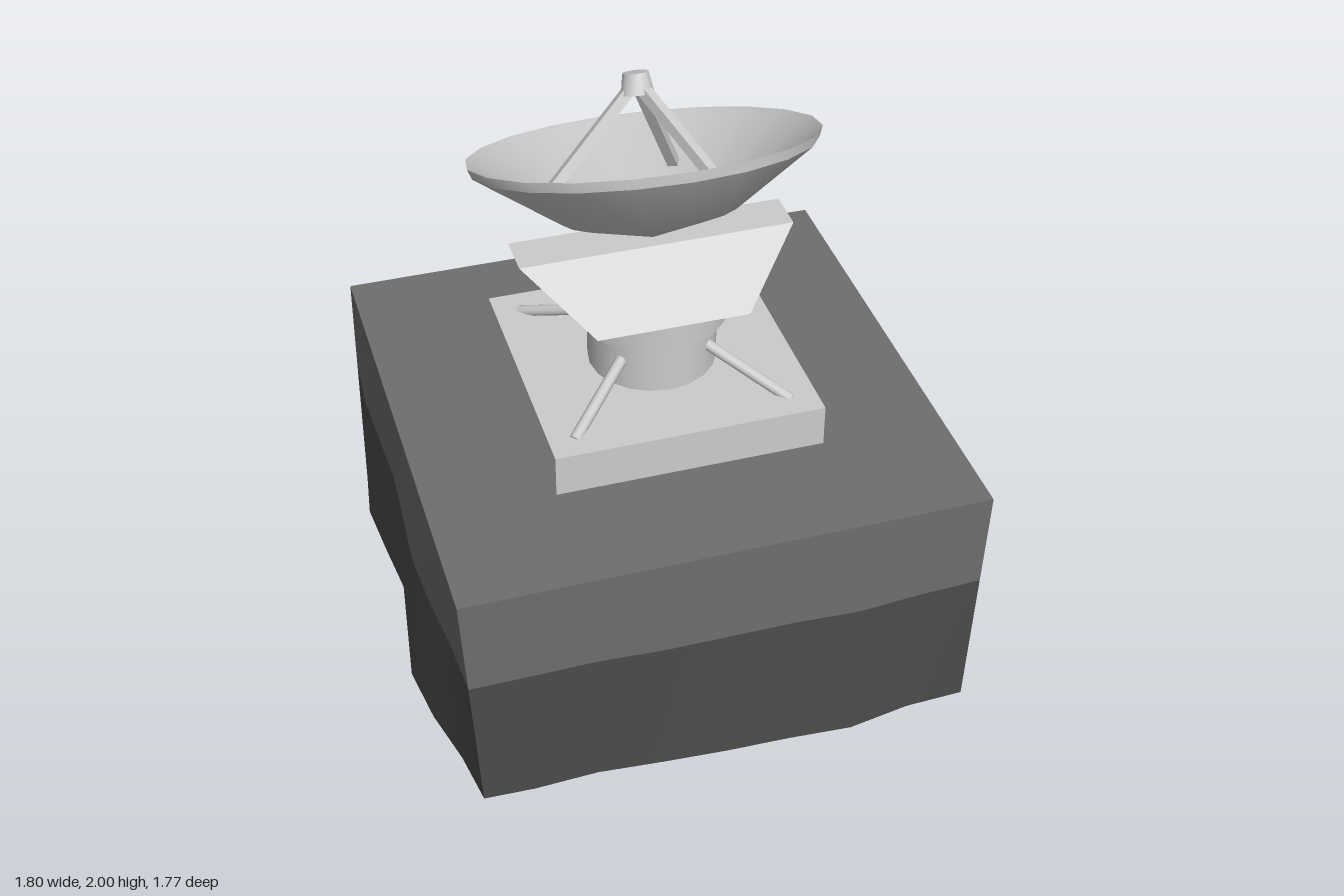
import * as THREE from 'three';
import { toCreasedNormals } from 'three/addons/utils/BufferGeometryUtils.js';

const light = new THREE.MeshStandardMaterial({ color: 0xcccccc });
const soil = new THREE.MeshStandardMaterial({ color: 0x6e6e6e, side: THREE.DoubleSide });
const rock = new THREE.MeshStandardMaterial({ color: 0x4c4c4c, side: THREE.DoubleSide });

function add(parent, name, geometry, material = light, x = 0, y = 0, z = 0) {
  const mesh = new THREE.Mesh(geometry, material);
  mesh.name = name;
  mesh.position.set(x, y, z);
  parent.add(mesh);
  return mesh;
}

// Lay a mesh built along y between two points
function span(mesh, a, b) {
  mesh.position.copy(a).add(b).multiplyScalar(0.5);
  mesh.quaternion.setFromUnitVectors(new THREE.Vector3(0, 1, 0), b.clone().sub(a).normalize());
}

// Outward push of each ground wall at its foot: left edge (-x), back, right, front
const H = 0.858, TOP = 0.885;
const bulge = [
  [-0.05, -0.02, 0.03, 0.06, 0.03, 0, 0.02, 0.04, 0.01],
  [-0.01, -0.04, -0.03, 0.02, 0.035, 0.02, 0, 0.025, -0.04],
  [-0.02, -0.03, 0, 0.02, 0.025, 0, 0.01, -0.02, -0.02],
  [-0.02, -0.02, 0.015, 0.01, 0, -0.02, -0.03, -0.02, -0.03],
];
const walls = [
  { out: [-1, 0], along: [0, -1] },
  { out: [0, -1], along: [1, 0] },
  { out: [1, 0], along: [0, 1] },
  { out: [0, 1], along: [-1, 0] },
];

// Ring of the ground block at height y, wall pushes growing toward the foot
function ring(y, wave) {
  const k = (TOP - y) / TOP, points = [];
  walls.forEach(({ out, along }, s) => {
    for (let i = 0; i < 8; i++) {
      const t = (i / 4 - 1) * H, push = H + bulge[s][i] * k;
      const p = [out[0] * push + along[0] * t, out[1] * push + along[1] * t];
      if (i === 0) { // a corner also follows the wall before it
        const before = walls[(s + 3) % 4].out, d = bulge[(s + 3) % 4][8] * k;
        p[0] += before[0] * d;
        p[1] += before[1] * d;
      }
      points.push([p[0], y + wave * Math.sin(points.length * 1.9), p[1]]);
    }
  });
  return points;
}

// Wall strip between two rings, with an optional flat lid
function band(low, high, lid) {
  const n = low.length, index = [];
  const positions = [...low, ...high];
  for (let i = 0; i < n; i++) {
    const j = (i + 1) % n;
    index.push(i, n + i, j, j, n + i, n + j);
  }
  if (lid) {
    positions.push([0, TOP, 0]);
    for (let i = 0; i < n; i++) index.push(2 * n, n + (i + 1) % n, n + i);
  }
  const g = new THREE.BufferGeometry();
  g.setAttribute('position', new THREE.Float32BufferAttribute(positions.flat(), 3));
  g.setIndex(index);
  return toCreasedNormals(g, 0.6);
}

// Turret block: square foot, wide and narrow top
function wedgeGeometry() {
  const g = new THREE.BoxGeometry(0.5, 0.195, 0.5);
  const p = g.attributes.position;
  for (let i = 0; i < p.count; i++) {
    if (p.getY(i) > 0) {
      p.setX(i, Math.sign(p.getX(i)) * 0.45);
      p.setZ(i, Math.sign(p.getZ(i)) * 0.072);
    }
  }
  const flat = g.toNonIndexed();
  flat.computeVertexNormals();
  return flat;
}

function makeGround() {
  const ground = new THREE.Group();
  ground.name = 'ground';
  const foot = ring(0.008, 0.006), seam = ring(0.53, 0.006), brim = ring(TOP, 0);
  add(ground, 'lowerEarth', band(foot, seam, false), rock);
  add(ground, 'upperEarth', band(seam, brim, true), soil);
  return ground;
}

function makeDish() {
  const dish = new THREE.Group();
  dish.name = 'dish';
  const profile = [
    [0, -0.305], [0.287, -0.22], [0.55, -0.033], [0.562, 0],
    [0.545, -0.008], [0.28, -0.185], [0, -0.265],
  ].map(([r, y]) => new THREE.Vector2(r, y));
  add(dish, 'reflector', toCreasedNormals(new THREE.LatheGeometry(profile, 20), 0.55));

  // Receiver on three legs
  add(dish, 'receiver', toCreasedNormals(new THREE.CylinderGeometry(0.042, 0.054, 0.067, 12), 0.7), light, 0, 0.188, 0);
  for (let i = 0; i < 3; i++) {
    const a = Math.PI + i * Math.PI * 2 / 3;
    const low = new THREE.Vector3(Math.cos(a) * 0.35, -0.145, Math.sin(a) * 0.35);
    const high = new THREE.Vector3(Math.cos(a) * 0.02, 0.175, Math.sin(a) * 0.02);
    const leg = add(dish, 'receiverLeg', new THREE.BoxGeometry(0.034, low.distanceTo(high), 0.034));
    span(leg, low, high);
    // Keep the leg's flat sides square to its own radial plane
    leg.quaternion.multiply(new THREE.Quaternion().setFromAxisAngle(new THREE.Vector3(0, 1, 0), -a));
  }
  dish.position.set(0, 1.777, -0.098);
  dish.rotation.x = -0.378;
  return dish;
}

export function createModel() {
  const model = new THREE.Group();
  model.name = 'satelliteStation';
  const station = new THREE.Group();
  station.name = 'station';
  station.position.set(0.016, 0, 0.01);
  model.add(station);

  station.add(makeGround());

  // Base and turning column
  add(station, 'basePlate', new THREE.BoxGeometry(0.89, 0.3, 0.89), light, 0, 0.88, 0);
  add(station, 'column', new THREE.CylinderGeometry(0.212, 0.212, 0.2, 20), light, 0, 1.12, 0);
  add(station, 'collar', new THREE.CylinderGeometry(0.246, 0.246, 0.095, 20), light, 0, 1.258, 0);
  add(station, 'turret', wedgeGeometry(), light, 0, 1.4025, 0);

  // Diagonal braces to the four corners
  for (const sx of [-1, 1]) {
    for (const sz of [-1, 1]) {
      const low = new THREE.Vector3(sx * 0.36, 1.02, sz * 0.36);
      const high = new THREE.Vector3(sx * 0.14, 1.135, sz * 0.14);
      const brace = add(station, 'brace', new THREE.CylinderGeometry(0.019, 0.019, low.distanceTo(high), 10));
      span(brace, low, high);
    }
  }

  station.add(makeDish());
  return model;
}
